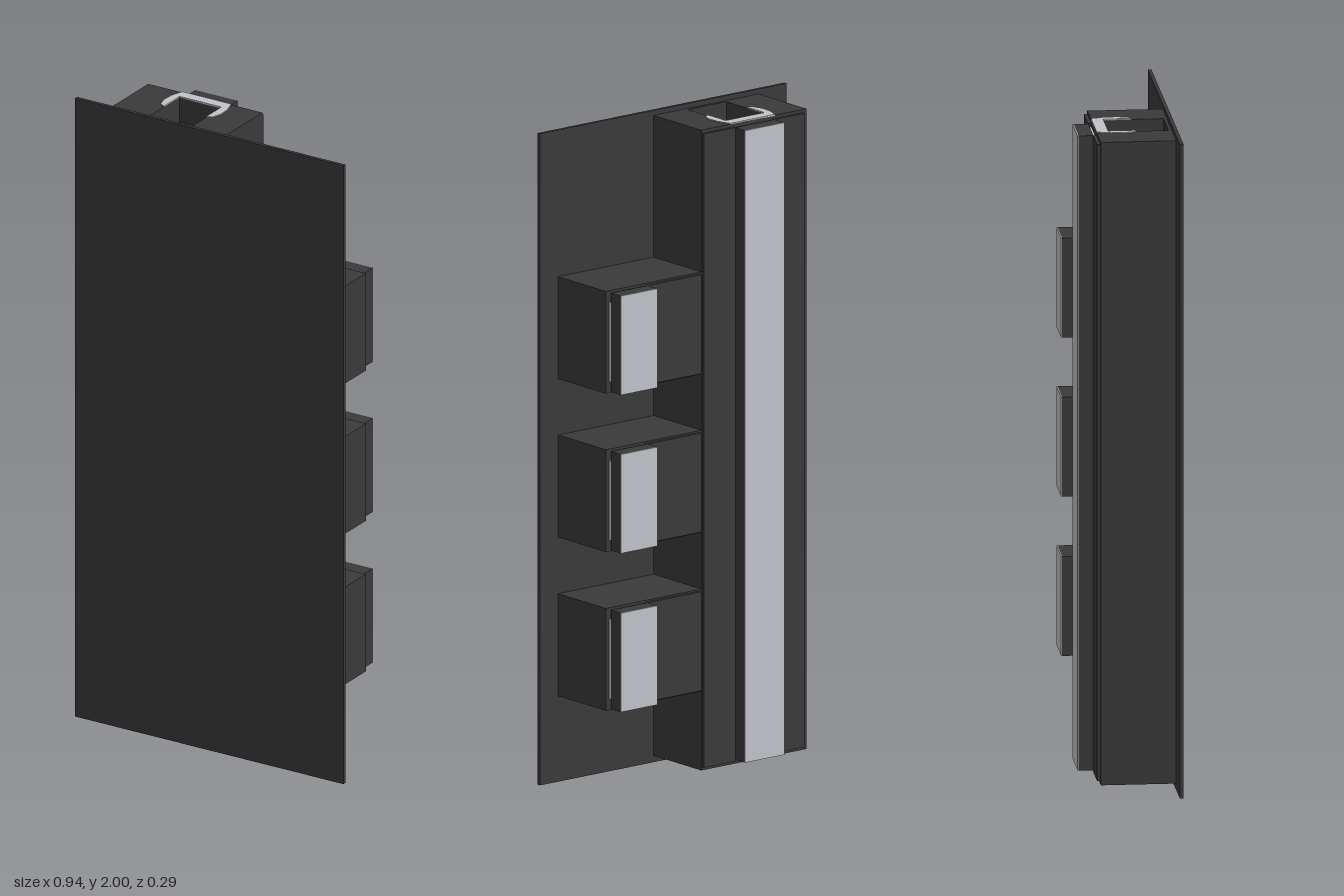
import * as THREE from 'three';

export function createModel() {
  const model = new THREE.Group();
  const dark = new THREE.MeshStandardMaterial({ color: 0x3a3a3a });
  dark.name = 'charcoal';
  const light = new THREE.MeshStandardMaterial({ color: 0xc0c3c8 });
  light.name = 'pale grey';

  // Box given by its limits on each axis
  function block(name, [x0, x1], [y0, y1], [z0, z1], material = dark, parent = model) {
    const mesh = new THREE.Mesh(new THREE.BoxGeometry(x1 - x0, y1 - y0, z1 - z0), material);
    mesh.position.set((x0 + x1) / 2, (y0 + y1) / 2, (z0 + z1) / 2);
    mesh.name = name;
    parent.add(mesh);
    return mesh;
  }

  // Outline in x and z, raised from y0 to y1
  function raised(name, shape, y0, y1, material) {
    const geometry = new THREE.ExtrudeGeometry(shape, { depth: y1 - y0, bevelEnabled: false });
    geometry.rotateX(-Math.PI / 2);
    const mesh = new THREE.Mesh(geometry, material);
    mesh.position.y = y0;
    mesh.name = name;
    model.add(mesh);
  }
  const outline = (points) => points.map(([x, z]) => new THREE.Vector2(x, -z));

  // Front plate
  block('frontPlate', [-0.472, 0.472], [0, 2], [0.135, 0.146]);

  // Tall column with a recess in its top
  block('columnBody', [-0.365, 0.037], [0.02, 1.88], [-0.09, 0.135]);
  const rim = new THREE.Shape(outline([[-0.365, -0.09], [0.037, -0.09], [0.037, 0.135], [-0.365, 0.135]]));
  rim.holes.push(new THREE.Path(outline([[-0.233, -0.055], [-0.233, 0.125], [-0.085, 0.125], [-0.085, -0.055]])));
  raised('columnRim', rim, 1.88, 1.985, dark);

  // Ribs in the recess
  for (let i = 0; i < 5; i++) {
    const x = -0.218 + i * 0.029;
    block('recessRib', [x - 0.003, x + 0.003], [1.88, 1.91], [-0.055, 0.125]);
  }

  // Pale clip around the recess, open to the front
  const clip = new THREE.Shape(outline([
    [-0.245, -0.09], [-0.073, -0.09], [-0.06, -0.05], [-0.058, -0.01], [-0.068, 0.022], [-0.085, 0.03],
    [-0.085, -0.055], [-0.233, -0.055], [-0.233, 0.03], [-0.25, 0.022], [-0.26, -0.01], [-0.258, -0.05],
  ]));
  raised('topClip', clip, 1.983, 1.988, light);

  // Back panels of the column, either side of the strip
  block('columnBackPanel', [-0.35, -0.235], [0.03, 1.975], [-0.1, -0.09]);
  block('columnBackPanel', [-0.085, 0.035], [0.03, 1.975], [-0.1, -0.09]);

  // Raised strip with pale plates behind and on its face
  function strip(name, xs, ys, inset, parent) {
    const ysIn = [ys[0] + inset, ys[1] - inset];
    block(name + 'Backing', xs, ysIn, [-0.099, -0.09], light, parent);
    block(name, xs, ys, [-0.143, -0.099], dark, parent);
    block(name + 'Face', xs, ys, [-0.146, -0.143], light, parent);
  }
  strip('columnStrip', [-0.235, -0.085], [0.035, 1.975], 0.01, model);

  // Three side boxes
  for (const y of [0.42, 0.907, 1.393]) {
    const box = new THREE.Group();
    box.name = 'sideBox';
    model.add(box);
    block('sideBoxBody', [0.037, 0.402], [y - 0.157, y + 0.157], [-0.09, 0.135], dark, box);
    block('sideBoxBackPanel', [0.045, 0.25], [y - 0.152, y + 0.152], [-0.1, -0.09], dark, box);
    strip('sideBoxStrip', [0.25, 0.39], [y - 0.152, y + 0.152], 0.03, box);
  }

  return model;
}
